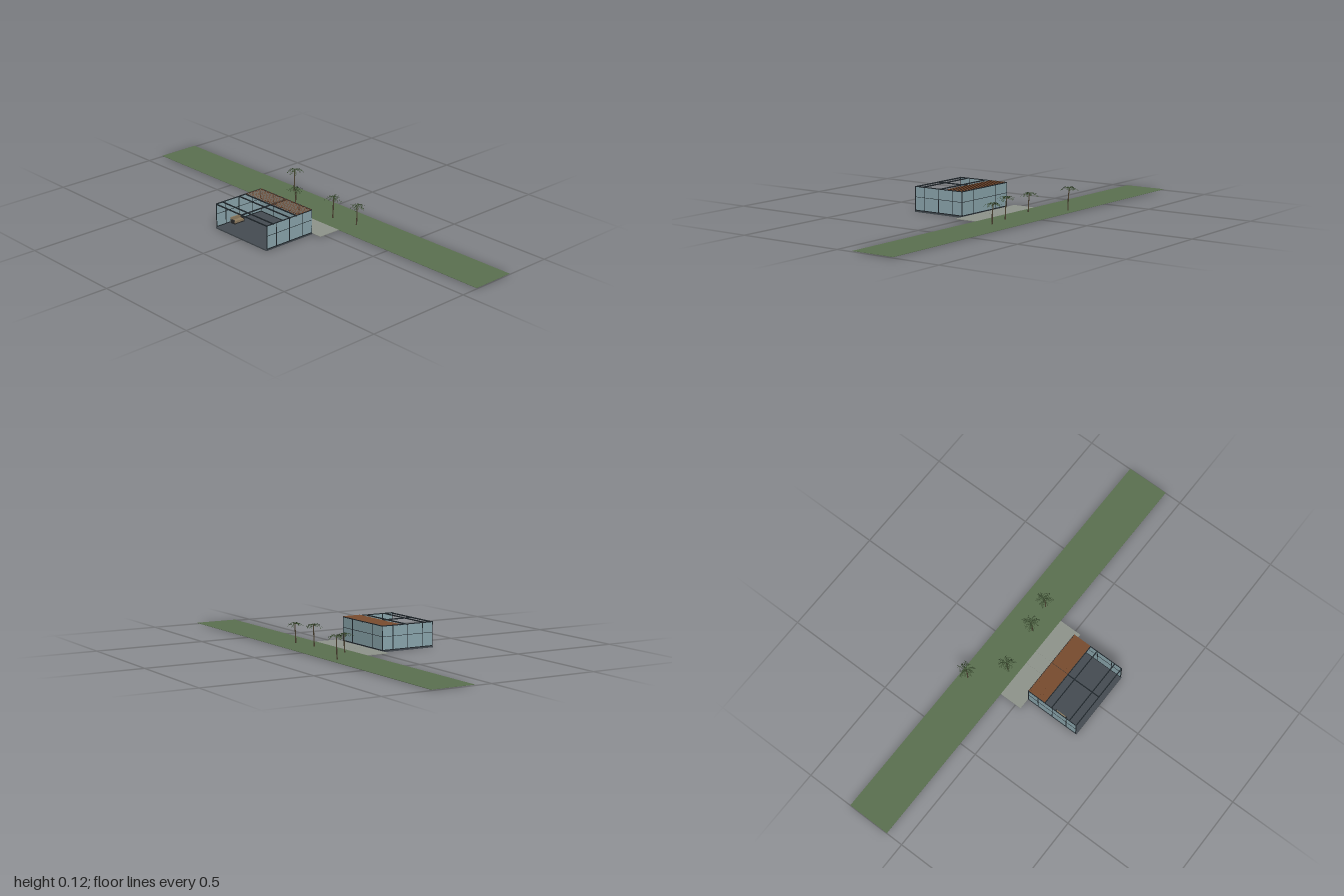
import * as THREE from 'three';

const mat = (color) => new THREE.MeshStandardMaterial({ color });
const GRASS = mat(0x5b7050), PAVING = mat(0x8f948b), FLOOR = mat(0x454c52), FRAME = mat(0x20272c);
const WOOD = mat(0x74492d), TAN = mat(0x8c7a5e), DARK = mat(0x2b2b2b), TRUNK = mat(0x4a4030);
const GLASS = mat(0x8ba6ad), LEAF = mat(0x34452b);
GLASS.side = LEAF.side = THREE.DoubleSide;

// Box given by its minimum and maximum corners
function box(parent, name, material, [x0, y0, z0], [x1, y1, z1]) {
  const m = new THREE.Mesh(new THREE.BoxGeometry(x1 - x0, y1 - y0, z1 - z0), material);
  m.position.set((x0 + x1) / 2, (y0 + y1) / 2, (z0 + z1) / 2);
  m.name = name;
  parent.add(m);
  return m;
}

// Feathered fronds: a drooping midrib with pairs of slender leaflets
function crownGeometry(radius, seed) {
  const pos = [];
  const tri = (...pts) => pts.forEach((p) => pos.push(p.x, p.y, p.z));
  const fronds = 13, steps = 9;
  for (let i = 0; i < fronds; i++) {
    const a = (i / fronds) * Math.PI * 2 + 0.25 * Math.sin(i * 4.7 + seed);
    const len = radius * (0.86 + 0.16 * Math.sin(i * 2.3 + seed * 3));
    const droop = 0.3 + 0.14 * Math.sin(i * 3.1 + seed);
    const out = new THREE.Vector3(Math.cos(a), 0, Math.sin(a));
    const side = new THREE.Vector3(-out.z, 0, out.x);
    const at = (t) => out.clone().multiplyScalar(len * t)
      .setY(len * (0.45 * t - (0.45 + droop) * t * t));
    for (let k = 0; k < steps; k++) {
      const t = k / steps, p = at(t), q = at(t + 1 / steps);
      const w = side.clone().multiplyScalar(0.0005);
      tri(p.clone().sub(w), q.clone().sub(w), q.clone().add(w));
      tri(p.clone().sub(w), q.clone().add(w), p.clone().add(w));
      if (k < 1) continue;
      for (const s of [-1, 1]) {
        const reach = radius * 0.24 * Math.sin(Math.PI * (0.15 + 0.75 * t));
        const tip = p.clone().addScaledVector(side, s * reach).addScaledVector(out, reach * 0.7);
        tip.y -= reach * 0.45;
        tri(p, p.clone().lerp(q, 0.4), tip);
      }
    }
  }
  const g = new THREE.BufferGeometry();
  g.setAttribute('position', new THREE.Float32BufferAttribute(pos, 3));
  g.computeVertexNormals();
  return g;
}

function palm(x, z, height, lean, seed) {
  const g = new THREE.Group();
  g.name = 'palmTree';
  const h = height - 0.009;
  const path = new THREE.CatmullRomCurve3([
    new THREE.Vector3(0, 0, 0), new THREE.Vector3(0.001, h * 0.5, -lean * 0.35), new THREE.Vector3(-0.002, h, -lean)]);
  const geo = new THREE.TubeGeometry(path, 12, 0.0026, 8);
  // Taper towards the top, with a light ring rhythm
  const p = geo.attributes.position;
  for (let i = 0; i < p.count; i++) {
    const row = Math.floor(i / 9), c = path.getPointAt(row / 12);
    const k = 1.1 - 0.35 * row / 12 + (row % 2) * 0.1;
    p.setXYZ(i, c.x + (p.getX(i) - c.x) * k, p.getY(i), c.z + (p.getZ(i) - c.z) * k);
  }
  geo.computeVertexNormals();
  const trunk = new THREE.Mesh(geo, TRUNK);
  trunk.name = 'palmTrunk';
  const crown = new THREE.Mesh(crownGeometry(0.042, seed), LEAF);
  crown.name = 'palmCrown';
  crown.position.set(-0.002, h, -lean);
  g.add(trunk, crown);
  g.position.set(x, 0.004, z);
  return g;
}

export function createModel() {
  const model = new THREE.Group();
  model.name = 'pavilionGarden';

  // Ground
  box(model, 'lawn', GRASS, [-1, 0.003, -0.28], [1, 0.0045, -0.08]);
  box(model, 'pavingLeft', PAVING, [0.032, 0.0025, -0.08], [0.212, 0.005, 0.028]);
  box(model, 'pavingRight', PAVING, [-0.218, 0.0025, -0.08], [-0.038, 0.005, 0.028]);
  box(model, 'centrePath', PAVING, [-0.0375, 0.0025, -0.08], [0.0315, 0.0052, 0.028]);

  // Pavilion: glazed on the back and both sides, open to the front
  const house = new THREE.Group();
  house.name = 'pavilion';
  model.add(house);
  const L = -0.165, R = 0.162, B = 0.03, F = 0.288, T = 0.113, t = 0.0018;
  box(house, 'floorSlab', FLOOR, [L, 0, B - 0.002], [R, 0.006, 0.291]);

  box(house, 'backGlass', GLASS, [L, 0.008, B + 0.001], [R, T, B + 0.0016]);
  for (const x of [L + 0.0012, R - 0.0012])
    box(house, 'sideGlass', GLASS, [x - 0.0003, 0.008, B], [x + 0.0003, T, F - 0.002]);

  // Posts
  for (const x of [L, -0.084, 0.081, R - 0.003])
    box(house, 'backPost', FRAME, [x, 0.005, B - 0.0005], [x + 0.003, T, B + 0.003]);
  for (const x of [L - 0.0003, R - 0.0027])
    for (const z of [0.082, 0.158, 0.233, F - 0.003])
      box(house, 'sidePost', FRAME, [x, 0.005, z], [x + 0.003, T, z + 0.003]);

  // Horizontal rails
  for (const [y, h] of [[0.006, 0.004], [0.066, t], [T - 0.002, 0.004]]) {
    box(house, 'backRail', FRAME, [L, y, B - 0.0005], [R, y + h, B + 0.003]);
    for (const x of [L - 0.0003, R - 0.0027])
      box(house, 'sideRail', FRAME, [x, y, B], [x + 0.003, y + h, F]);
  }

  // Open roof beams
  for (const z of [0.117, 0.153, 0.248, F - 0.004])
    box(house, 'crossBeam', FRAME, [L, T - 0.004, z], [R, T + 0.001, z + 0.004]);
  box(house, 'centreBeam', FRAME, [-0.003, T - 0.004, B], [0.001, T + 0.001, F]);

  // Timber louvres over the rear bay
  const count = 36, pitch = (R - L) / count;
  for (let i = 0; i < count; i++) {
    const x = L + (i + 0.5) * pitch;
    const slat = box(house, 'roofSlat', WOOD, [x - 0.0048, T + 0.001, B], [x + 0.0048, T + 0.0018, 0.118]);
    slat.rotation.z = 0.3;
  }

  // Low sofa by the right wall
  const sofa = new THREE.Group();
  sofa.name = 'sofa';
  house.add(sofa);
  box(sofa, 'sofaBase', DARK, [-0.156, 0.006, 0.158], [-0.13, 0.01, 0.214]);
  box(sofa, 'sofaSeat', TAN, [-0.155, 0.01, 0.16], [-0.132, 0.019, 0.212]);
  box(sofa, 'sofaBack', TAN, [-0.157, 0.01, 0.158], [-0.151, 0.033, 0.214]);
  for (const z of [0.156, 0.21])
    box(sofa, 'sofaArm', DARK, [-0.155, 0.01, z], [-0.132, 0.024, z + 0.005]);

  // Reclining chair under the louvres
  const lounger = new THREE.Group();
  lounger.name = 'lounger';
  house.add(lounger);
  box(lounger, 'loungerSeat', WOOD, [0.09, 0.013, 0.05], [0.13, 0.016, 0.075]);
  const back = box(lounger, 'loungerBack', WOOD, [0.124, 0.021, 0.05], [0.152, 0.024, 0.075]);
  back.rotation.z = 0.7;
  for (const x of [0.094, 0.127])
    for (const z of [0.051, 0.072])
      box(lounger, 'loungerLeg', DARK, [x, 0.006, z], [x + 0.002, 0.014, z + 0.002]);

  // Palms: x, z, height, lean
  [[-0.11, -0.125, 0.092, 0.004], [0.1, -0.153, 0.106, 0.005], [0.225, -0.175, 0.098, 0.005], [-0.245, -0.242, 0.111, 0.005]]
    .forEach((p, i) => model.add(palm(...p, i + 1)));

  return model;
}
